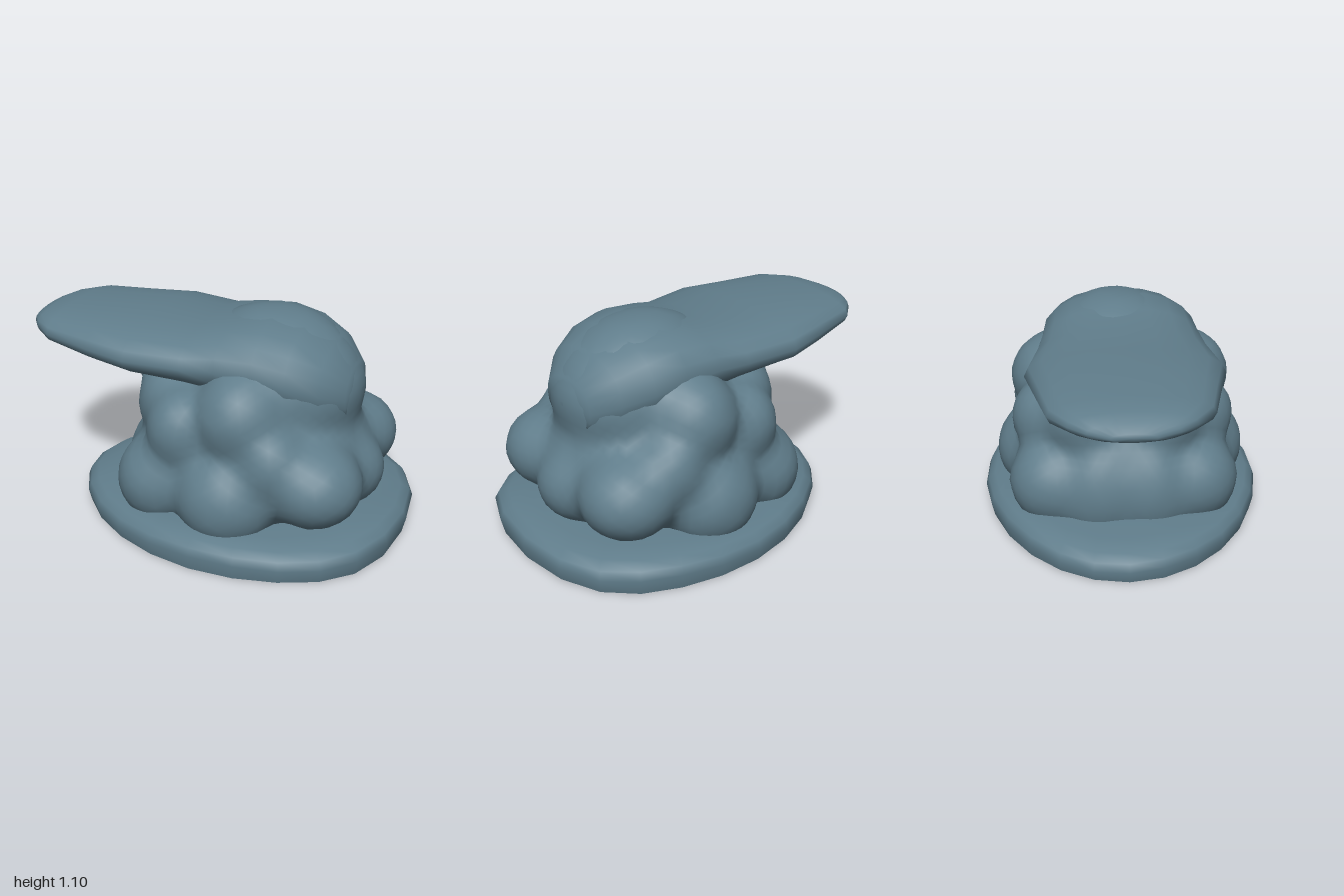
import * as THREE from 'three';
import { mergeVertices } from 'three/addons/utils/BufferGeometryUtils.js';

// lumps: centre x, y, z, then radii x, y, z
const LUMPS = [
  [0.2, 0.36, 0, 0.60, 0.46, 0.54],       // core
  [0.28, 0.73, 0, 0.48, 0.36, 0.41],      // head dome
  [0.27, 0.96, -0.03, 0.30, 0.15, 0.27],  // crown
  [-0.26, 0.79, 0, 0.24, 0.15, 0.26],     // neck under the bill
  [0.66, 0.31, 0, 0.22, 0.20, 0.22],      // side middle
];
// mirrored lumps, one on each z side
const PAIRS = [
  [0.24, 0.66, 0.34, 0.24, 0.25, 0.25],
  [-0.05, 0.56, 0.38, 0.19, 0.22, 0.20],
  [-0.18, 0.62, 0.20, 0.19, 0.22, 0.21],
  [0.61, 0.36, 0.33, 0.25, 0.22, 0.25],
  [0.20, 0.26, 0.43, 0.27, 0.26, 0.25],
  [0.42, 0.48, 0.40, 0.18, 0.19, 0.19],
  [-0.18, 0.26, 0.35, 0.24, 0.25, 0.25],
  [-0.26, 0.24, 0.12, 0.21, 0.29, 0.24],
];
for (const [x, y, z, a, b, c] of PAIRS) LUMPS.push([x, y, z, a, b, c], [x, y, -z, a, b, c]);

// softly blended distance to all lumps
function field(p) {
  const k = 0.024;
  let sum = 0;
  for (const [x, y, z, a, b, c] of LUMPS) {
    const q = Math.hypot((p.x - x) / a, (p.y - y) / b, (p.z - z) / c);
    sum += Math.exp(-(q - 1) * Math.min(a, b, c) / k);
  }
  return -k * Math.log(sum) + 0.014;
}

// one lumpy skin: a sphere shrunk on to the blended lumps
function bodyGeometry() {
  let geo = new THREE.IcosahedronGeometry(1, 14);
  geo.deleteAttribute('normal');
  geo.deleteAttribute('uv');
  geo = mergeVertices(geo, 1e-4);
  const pos = geo.attributes.position;
  const centre = new THREE.Vector3(0.2, 0.42, 0);
  const dir = new THREE.Vector3(), p = new THREE.Vector3();
  for (let i = 0; i < pos.count; i++) {
    dir.fromBufferAttribute(pos, i).normalize();
    let t = 1.2;
    while (t > 0.1 && field(p.copy(centre).addScaledVector(dir, t)) > 0) t -= 0.005;
    pos.setXYZ(i, p.x, Math.max(p.y, 0.03), p.z);
  }
  geo.computeVertexNormals();
  return geo;
}

// bill lofted along x: x, bottom y, top y, half width; it swells into the head
const BILL = [
  [-1.0, 0.90, 0.94, 0.10], [-0.97, 0.885, 0.975, 0.20], [-0.91, 0.865, 1.0, 0.28],
  [-0.80, 0.84, 1.02, 0.37], [-0.55, 0.79, 1.03, 0.425], [-0.32, 0.77, 1.035, 0.48],
  [-0.05, 0.74, 1.03, 0.435], [0.12, 0.70, 1.07, 0.41], [0.3, 0.66, 1.09, 0.40],
  [0.46, 0.62, 1.06, 0.37], [0.6, 0.60, 0.99, 0.29], [0.7, 0.62, 0.87, 0.18],
];
function billGeometry() {
  const n = 20, verts = [], idx = [];
  for (const [x, lo, hi, w] of BILL) {
    for (let j = 0; j < n; j++) {
      const a = j / n * Math.PI * 2, s = Math.sin(a), c = Math.cos(a);
      const y = (lo + hi) / 2 + Math.sign(s) * Math.pow(Math.abs(s), 0.9) * (hi - lo) / 2;
      verts.push(x, y, Math.sign(c) * Math.pow(Math.abs(c), 0.9) * w);
    }
  }
  for (let i = 0; i < BILL.length - 1; i++) {
    for (let j = 0; j < n; j++) {
      const a = i * n + j, b = i * n + (j + 1) % n;
      idx.push(a, a + n, b, b, a + n, b + n);
    }
  }
  // end caps
  const last = (BILL.length - 1) * n, tip = verts.length / 3;
  verts.push(-1, 0.92, 0, 0.74, 0.75, 0);
  for (let j = 0; j < n; j++) {
    const k = (j + 1) % n;
    idx.push(tip, j, k, tip + 1, last + k, last + j);
  }
  const geo = new THREE.BufferGeometry();
  geo.setAttribute('position', new THREE.Float32BufferAttribute(verts, 3));
  geo.setIndex(idx);
  geo.computeVertexNormals();
  return geo;
}

// oval outline for the base, blunter at +x, with a gently uneven rim
function shapeBase(geo) {
  const pos = geo.attributes.position;
  for (let i = 0; i < pos.count; i++) {
    const x = pos.getX(i), y = pos.getY(i), z = pos.getZ(i);
    const wave = y > 0.05 ? 0.006 * Math.sin(Math.atan2(z, x) * 5) + 0.008 * x : 0;
    const widen = 1 + 0.1 * x + 0.35 * Math.max(x, 0) ** 4;
    pos.setXYZ(i, 0.125 + 0.875 * x, y + wave, 0.735 * z * widen);
  }
  geo.computeVertexNormals();
  return geo;
}

export function createModel() {
  const group = new THREE.Group();
  const slate = new THREE.MeshStandardMaterial({ color: 0x607d8b });
  slate.name = 'slate blue';
  const add = (name, geo) => {
    const mesh = new THREE.Mesh(geo, slate);
    mesh.name = name;
    group.add(mesh);
  };

  const rim = [[0.98, 0], [1, 0.07], [0.98, 0.11], [0.93, 0.14], [0.82, 0.16], [0.55, 0.175], [0, 0.18]];
  const lathe = new THREE.LatheGeometry(rim.map(([x, y]) => new THREE.Vector2(x, y)), 24);
  lathe.deleteAttribute('uv');
  lathe.deleteAttribute('normal');
  add('base', shapeBase(mergeVertices(lathe, 1e-4)));
  add('baseUnderside', shapeBase(new THREE.CircleGeometry(0.98, 24).rotateX(Math.PI / 2)));
  add('lumpyBody', bodyGeometry());
  add('bill', billGeometry());
  return group;
}
